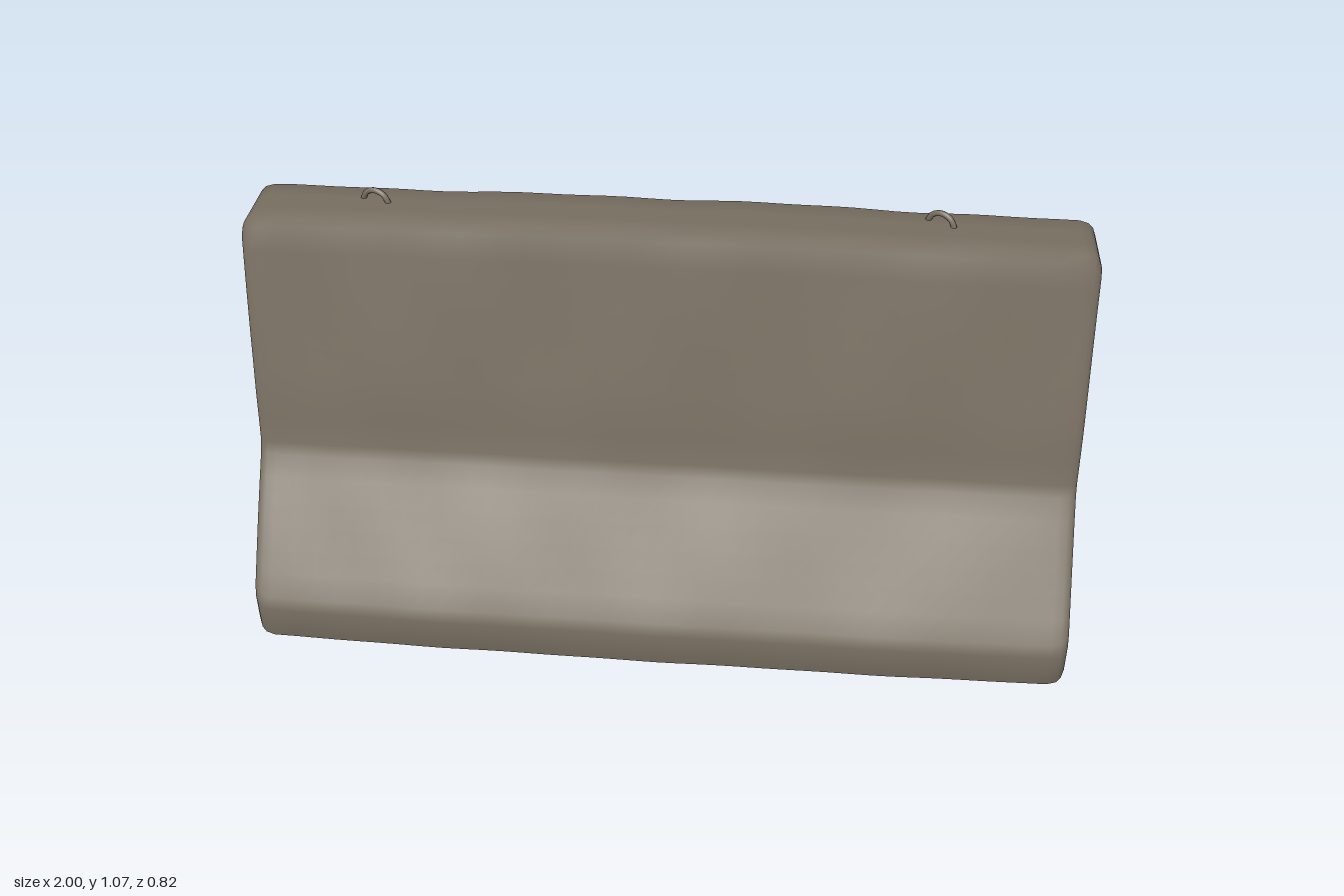
import * as THREE from 'three';

const concrete = new THREE.MeshStandardMaterial({ color: 0x776e60 });
concrete.name = 'weathered concrete';

// Cross-section as [z, y]: up the front, over the top, down the back, under the base
const PROFILE = [
  [0.385, 0.016], [0.405, 0.03], [0.405, 0.115], [0.393, 0.145],
  [0.192, 0.44], [0.18, 0.47], [0.158, 0.6], [0.066, 1.015], [0.052, 1.035],
  [-0.1, 1.035], [-0.12, 1.015], [-0.14, 0.87], [-0.163, 0.6],
  [-0.18, 0.455], [-0.19, 0.425], [-0.365, 0.15], [-0.392, 0.095],
  [-0.405, 0.035], [-0.385, 0.016],
];

// Split the longer edges so that the surface can undulate
function subdivide(points, step) {
  const out = [];
  points.forEach(([z, y], i) => {
    const [z2, y2] = points[(i + 1) % points.length];
    const n = Math.max(1, Math.round(Math.hypot(z2 - z, y2 - y) / step));
    for (let k = 0; k < n; k++) out.push([z + (z2 - z) * k / n, y + (y2 - y) * k / n]);
  });
  return out;
}

// Gentle cast unevenness
const wave = (x, y, z) =>
  0.5 * Math.sin(5.3 * x + 3.1 * y + 1) * Math.cos(4.1 * z + 2.2 * y)
  + 0.3 * Math.sin(11 * x - 7 * y + 5 * z) + 0.2 * Math.sin(23 * x + 9 * y - 13 * z);

function barrierGeometry() {
  const ring = subdivide(PROFILE, 0.06);
  const n = ring.length;
  // Stations along the length as [x, shrink]; the ends are softly rounded
  const ends = [[1, 0.06], [0.993, 0.028], [0.982, 0.01], [0.96, 0]];
  const stations = ends.map(([x, s]) => [-x, s]);
  for (let i = 1; i < 36; i++) stations.push([-0.96 + 1.92 * i / 36, 0]);
  stations.push(...ends.slice().reverse());
  // Inner rings keep the end faces flat
  stations.unshift([-1, 0.5], [-1, 0.12]);
  stations.push([1, 0.12], [1, 0.5]);

  const pos = [], index = [];
  for (const [x, s] of stations) {
    for (const [z0, y0] of ring) {
      const z = z0 * (1 - s), y = 0.5 + (y0 - 0.5) * (1 - s);
      const w = 0.005 * wave(x, y, z);
      const bow = 0.01 * (1 - x * x) * (y > 0.5 ? 1 : -1) * Math.abs(y - 0.5) * 2;
      const end = x > 0 ? x * (1 - 0.012 * y) : x;
      pos.push(end, y + bow + w * (y > 0.95 ? 0.7 : 0.3), z + w * Math.sign(z));
    }
  }
  for (let i = 0; i < stations.length - 1; i++) {
    for (let j = 0; j < n; j++) {
      const k = (j + 1) % n;
      const a = i * n + j, b = i * n + k, c = a + n, d = b + n;
      index.push(a, c, d, a, d, b);
    }
  }
  // End caps
  const left = pos.length / 3, right = left + 1, last = (stations.length - 1) * n;
  pos.push(-1, 0.5, 0, 0.994, 0.5, 0);
  for (let j = 0; j < n; j++) {
    const k = (j + 1) % n;
    index.push(left, j, k, right, last + k, last + j);
  }
  const g = new THREE.BufferGeometry();
  g.setAttribute('position', new THREE.Float32BufferAttribute(pos, 3));
  g.setIndex(index);
  g.computeVertexNormals();
  return g;
}

// Lifting loop: a bent bar with both feet sunk in the top
function liftingLoop() {
  const path = new THREE.CatmullRomCurve3([
    [-0.036, -0.03], [-0.034, 0.005], [-0.022, 0.027], [0, 0.035],
    [0.022, 0.027], [0.034, 0.005], [0.036, -0.03],
  ].map(([x, y]) => new THREE.Vector3(x, y, 0)));
  return new THREE.TubeGeometry(path, 24, 0.007, 8);
}

export function createModel() {
  const group = new THREE.Group();
  group.name = 'concreteBarrier';

  const body = new THREE.Mesh(barrierGeometry(), concrete);
  body.name = 'barrierBody';
  group.add(body);

  const loopGeometry = liftingLoop();
  for (const [name, x, z, turn] of [['rightLiftingLoop', -0.7, -0.045, -0.3], ['leftLiftingLoop', 0.627, -0.055, -0.5]]) {
    const loop = new THREE.Mesh(loopGeometry, concrete);
    loop.name = name;
    loop.position.set(x, 1.03, z);
    loop.rotation.y = turn;
    group.add(loop);
  }
  return group;
}
